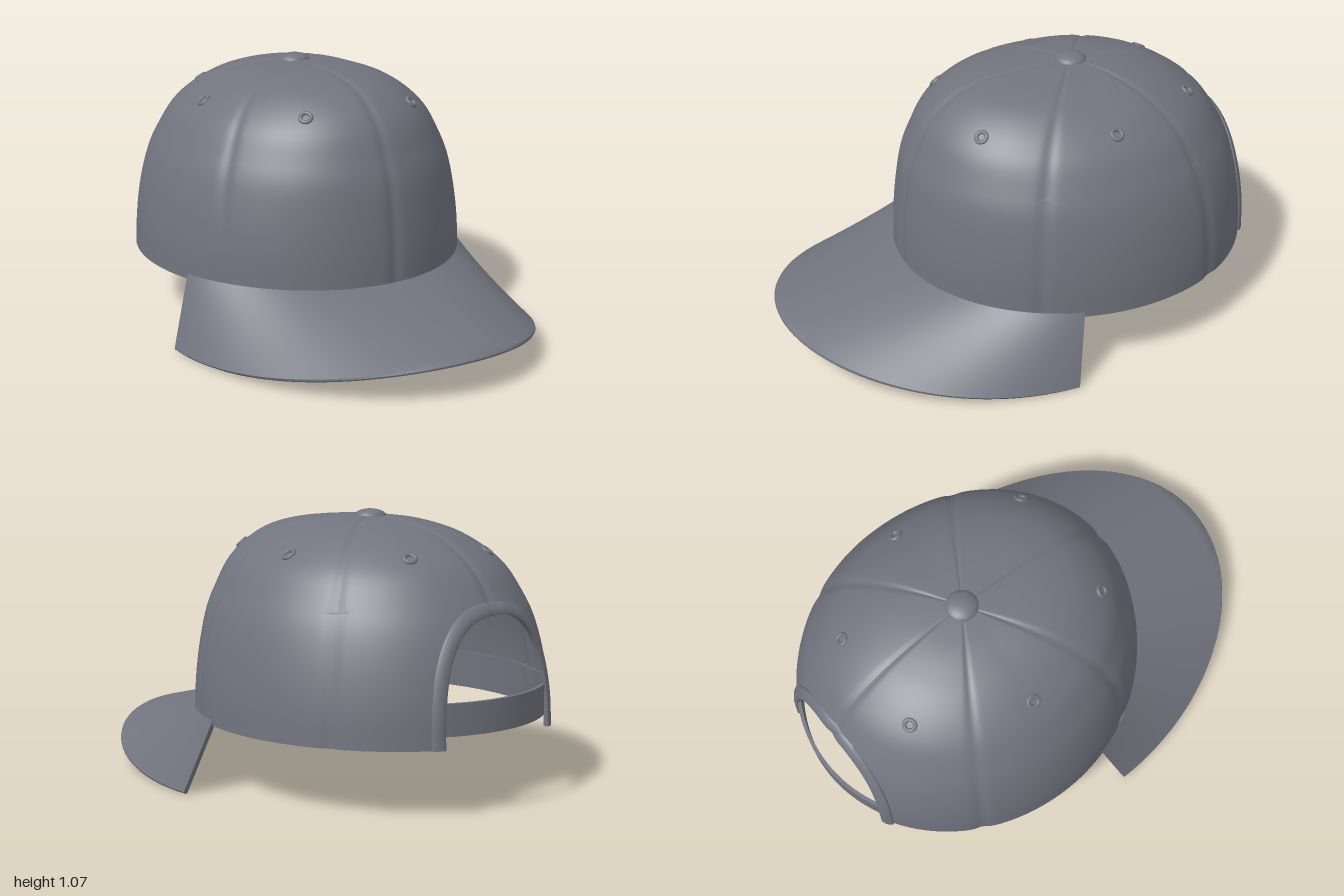
import * as THREE from 'three';
import { toCreasedNormals } from 'three/addons/utils/BufferGeometryUtils.js';

const RX = 0.66, RZ = 0.74, CZ = -0.27, BASE = 0.265;
const V = (x, y, z) => new THREE.Vector3(x, y, z);

// Crown profile: x = radius factor at sides and back, y = height, z = fuller radius factor at the front
const profile = new THREE.CatmullRomCurve3([
  [1, BASE, 1], [0.99, 0.4, 0.995], [0.955, 0.55, 0.975], [0.9, 0.68, 0.945],
  [0.835, 0.77, 0.9], [0.75, 0.86, 0.845], [0.635, 0.93, 0.765], [0.5, 0.985, 0.66],
  [0.38, 1.015, 0.55], [0.26, 1.035, 0.4], [0.13, 1.045, 0.2], [0, 1.05, 0],
].map((p) => V(...p)));

// Profile parameter at a given height
function tAt(y) {
  let lo = 0, hi = 1;
  for (let i = 0; i < 30; i++) {
    const mid = (lo + hi) / 2;
    if (profile.getPoint(mid).y < y) lo = mid; else hi = mid;
  }
  return (lo + hi) / 2;
}

// Point on the crown; phi runs from the back over +x to the front, with a groove every 60 degrees
function crownPoint(phi, t, scale = 1) {
  const p = profile.getPoint(t);
  const front = Math.pow(Math.max(0, -Math.cos(phi)), 1.5);
  const step = Math.PI / 3;
  const d = phi - Math.round(phi / step) * step;
  const groove = Math.exp(-((d / 0.04) ** 2));
  const r = THREE.MathUtils.lerp(p.x, p.z, front) * scale * (1 - 0.011 * groove);
  return V(Math.sin(phi) * RX * r, p.y - 0.006 * groove * t * Math.min(1, r * 4), CZ - Math.cos(phi) * RZ * r);
}

// Back opening: a = 0 inner edge of the trim, a = 1 outer edge
const ARCH = 2.5;
const archTop = (a) => 0.72 + 0.045 * a;
const archWidth = (a) => 0.285 + 0.045 * a;
const phiOfX = (x, t) => Math.asin(x / (RX * profile.getPoint(t).x));
function openingPhi(y, t, a) {
  const k = Math.max(0, (y - BASE) / (archTop(a) - BASE));
  if (k >= 1) return 0;
  return phiOfX(archWidth(a) * Math.pow(1 - Math.pow(k, ARCH), 1 / ARCH), t);
}

// Surface through a grid of points fn(i, j)
function grid(fn, nu, nv) {
  const pos = [], index = [];
  for (let i = 0; i <= nu; i++) for (let j = 0; j <= nv; j++) pos.push(...fn(i, j).toArray());
  for (let i = 0; i < nu; i++) for (let j = 0; j < nv; j++) {
    const a = i * (nv + 1) + j, b = a + nv + 1;
    index.push(a, b, a + 1, b, b + 1, a + 1);
  }
  const g = new THREE.BufferGeometry();
  g.setAttribute('position', new THREE.Float32BufferAttribute(pos, 3));
  g.setIndex(index);
  g.computeVertexNormals();
  return g;
}

export function createModel() {
  const group = new THREE.Group();
  const fabric = new THREE.MeshStandardMaterial({ color: 0x71747e, side: THREE.DoubleSide });
  fabric.name = 'slateFabric';
  const add = (name, geometry) => {
    const mesh = new THREE.Mesh(geometry, fabric);
    mesh.name = name;
    group.add(mesh);
    return mesh;
  };

  // Six-panel crown with the arched opening cut out at the back
  const low = 22, high = 30, tTop = tAt(archTop(0.5));
  const rows = [];
  for (let i = 0; i <= low + high; i++) {
    if (i < low) {
      const y = BASE + (archTop(0.5) - BASE) * Math.sin((i / low) * Math.PI / 2);
      const t = tAt(y);
      rows.push({ t, open: openingPhi(y, t, 0.5) });
    } else rows.push({ t: tTop + (1 - tTop) * (i - low) / high, open: 0 });
  }
  const cols = 288;
  add('crown', grid((i, j) => {
    const { t, open } = rows[i];
    return crownPoint(open + (2 * Math.PI - 2 * open) * j / cols, t);
  }, low + high, cols));

  // Sweatband lining the lower edge
  const bandRows = [[BASE, 1], [BASE, 0.985], [0.34, 0.982], [0.42, 0.984], [0.42, 0.998]];
  add('sweatband', toCreasedNormals(grid((i, j) => {
    const [y, s] = bandRows[i], t = tAt(y), open = openingPhi(y, t, 0.5);
    return crownPoint(open + (2 * Math.PI - 2 * open) * j / 144, t, s);
  }, bandRows.length - 1, 144), 0.6));

  // Raised trim around the opening
  const section = [[0, 0.985], [0, 1.008], [0.15, 1.015], [0.5, 1.019], [0.85, 1.015], [1, 1.008], [1, 0.985], [0, 0.985]];
  add('openingTrim', toCreasedNormals(grid((i, j) => {
    const q = (i / 64 - 0.5) * Math.PI, [a, s] = section[j];
    const x = Math.sign(q) * archWidth(a) * Math.pow(Math.abs(Math.sin(q)), 2 / ARCH);
    const y = BASE + (archTop(a) - BASE) * Math.pow(Math.max(0, Math.cos(q)), 2 / ARCH);
    const t = tAt(y);
    return crownPoint(phiOfX(x, t), t, s);
  }, 64, section.length - 1), 0.7));

  // Adjustment strap across the opening
  const strapLoop = [[0.31, 0.965], [0.31, 0.985], [0.43, 0.985], [0.43, 0.965], [0.31, 0.965]];
  add('strap', toCreasedNormals(grid((i, j) => {
    const phi = (i / 32 - 0.5) * 1.06, [y, s] = strapLoop[j];
    return V(Math.sin(phi) * RX * s, y, CZ - Math.cos(phi) * RZ * s);
  }, 32, 4), 0.6));

  // Curved brim; the first and last rings close the ends
  const nu = 64, ns = 12, loop = 2 * ns + 4;
  add('brim', toCreasedNormals(grid((i, j) => {
    const u = THREE.MathUtils.clamp((i - 1) / nu, 0, 1);
    const k = j % loop;
    // top side, rounded lip, then underside
    let s, depth;
    if (k <= ns) { s = k / ns; depth = 0; }
    else if (k === ns + 1) { s = 1.012; depth = 0.3; }
    else if (k === ns + 2) { s = 1.012; depth = 0.7; }
    else { s = Math.max(0, (loop - 1 - k) / ns); depth = 1; }
    if (i === 0 || i === nu + 2) depth = 0.5;
    const inner = THREE.MathUtils.lerp(0.288, Math.PI - 0.288, u), outer = u * Math.PI;
    const c = Math.cos(outer), f = Math.sin(outer);
    const a = V(RX * Math.cos(inner), 0.285, CZ + RZ * Math.sin(inner));
    const b = V(0.73 * c, 0.152 - 0.142 * c * c, 0.99 * f);
    const normal = V(0.93 * c, 0.36 + 0.6 * f, 0.2 * f).normalize();
    return a.lerp(b, s).addScaledVector(normal, -0.018 * depth);
  }, nu + 2, loop), 0.7));

  // Top button
  const button = add('topButton', new THREE.SphereGeometry(0.064, 32, 16));
  button.scale.y = 0.45;
  button.position.set(0, 1.043, CZ);

  // Stitched eyelet in the middle of each panel
  const eyeT = tAt(0.922);
  for (let k = 0; k < 6; k++) {
    const phi = Math.PI / 6 + k * Math.PI / 3;
    const p = crownPoint(phi, eyeT);
    const along = crownPoint(phi + 0.02, eyeT).sub(p), up = crownPoint(phi, eyeT + 0.01).sub(p);
    const eyelet = add('eyelet', new THREE.TorusGeometry(0.021, 0.0085, 10, 24));
    eyelet.position.copy(p);
    eyelet.quaternion.setFromUnitVectors(V(0, 0, 1), up.cross(along).normalize());
  }
  return group;
}
